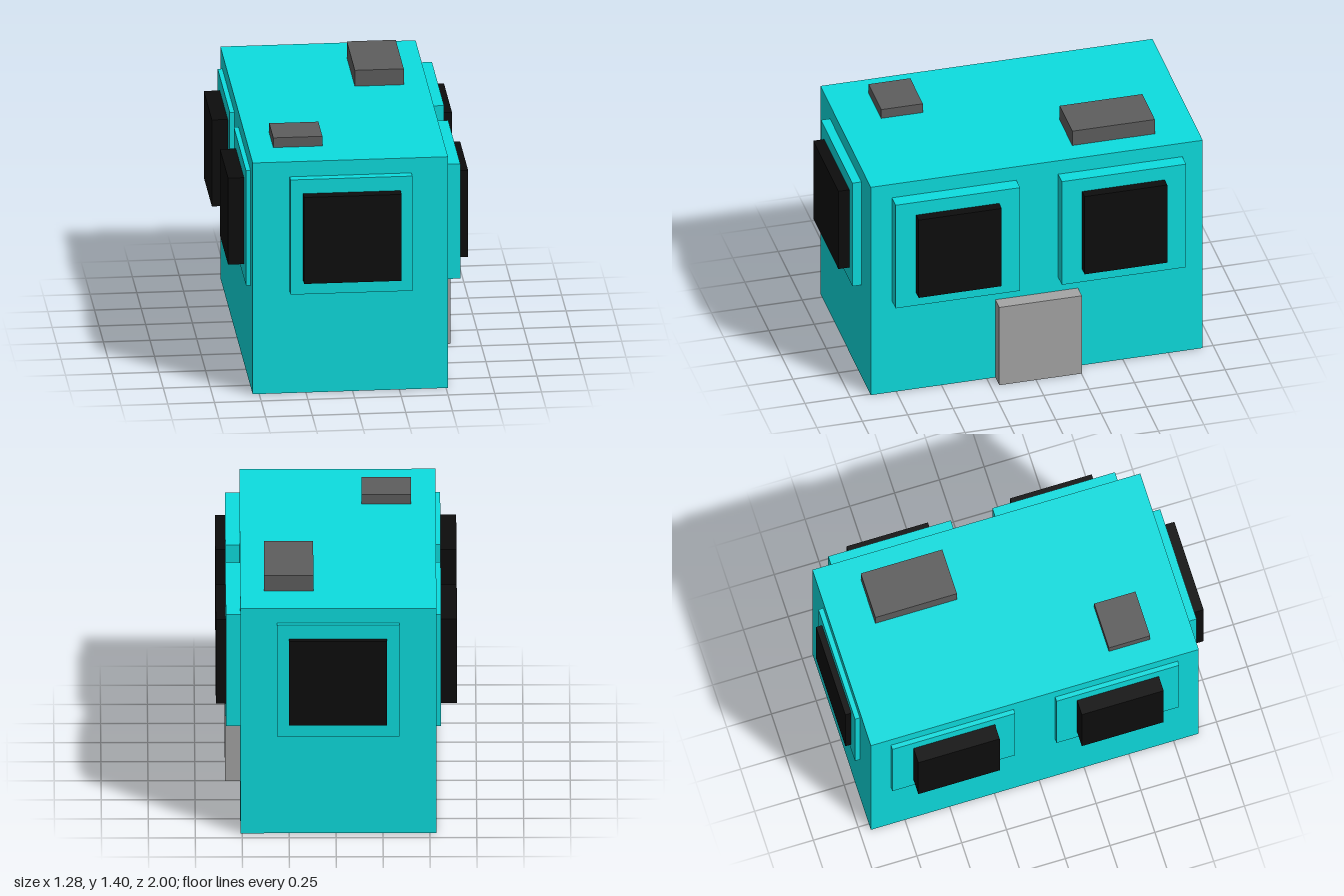
import * as THREE from 'three';

export function createModel() {
  const model = new THREE.Group();
  const paint = (color) => new THREE.MeshStandardMaterial({ color });
  const cyan = paint(0x0ddddf), black = paint(0x0d0d0d);
  const doorGrey = paint(0xa5a5a5), roofGrey = paint(0x5e5e5e);

  // Box given by its extents along each axis
  function box(name, material, [x0, x1], [y0, y1], [z0, z1]) {
    const mesh = new THREE.Mesh(new THREE.BoxGeometry(x1 - x0, y1 - y0, z1 - z0), material);
    mesh.position.set((x0 + x1) / 2, (y0 + y1) / 2, (z0 + z1) / 2);
    mesh.name = name;
    model.add(mesh);
  }

  const bodyX = [-0.535, 0.51], bodyZ = [-0.94, 0.89];
  const frameY = [0.575, 1.225], paneY = [0.655, 1.145];

  // Main block
  box('body', cyan, bodyX, [0, 1.31], bodyZ);

  // Two windows on each long side
  const sides = [
    { name: 'left', frame: [0.51, 0.587], pane: [0.587, 0.64] },
    { name: 'right', frame: [-0.56, -0.535], pane: [-0.645, -0.56] },
  ];
  const bays = [
    { name: 'Front', frame: [0.088, 0.773], pane: [0.203, 0.66] },
    { name: 'Back', frame: [-0.828, -0.143], pane: [-0.71, -0.255] },
  ];
  for (const s of sides) for (const b of bays) {
    box(`${s.name}${b.name}WindowFrame`, cyan, s.frame, frameY, b.frame);
    box(`${s.name}${b.name}WindowPane`, black, s.pane, paneY, b.pane);
  }

  // One window on each end
  const ends = [
    { name: 'front', frame: [0.89, 0.94], pane: [0.94, 1] },
    { name: 'back', frame: [-0.967, -0.94], pane: [-1, -0.967] },
  ];
  for (const e of ends) {
    box(`${e.name}WindowFrame`, cyan, [-0.337, 0.315], frameY, e.frame);
    box(`${e.name}WindowPane`, black, [-0.27, 0.252], paneY, e.pane);
  }

  // Door and roof boxes
  box('door', doorGrey, [0.51, 0.59], [0, 0.49], [-0.253, 0.203]);
  box('largeRoofBox', roofGrey, [0.12, 0.382], [1.31, 1.4], [-0.71, -0.255]);
  box('smallRoofBox', roofGrey, [-0.403, -0.14], [1.31, 1.365], [0.43, 0.66]);

  return model;
}
